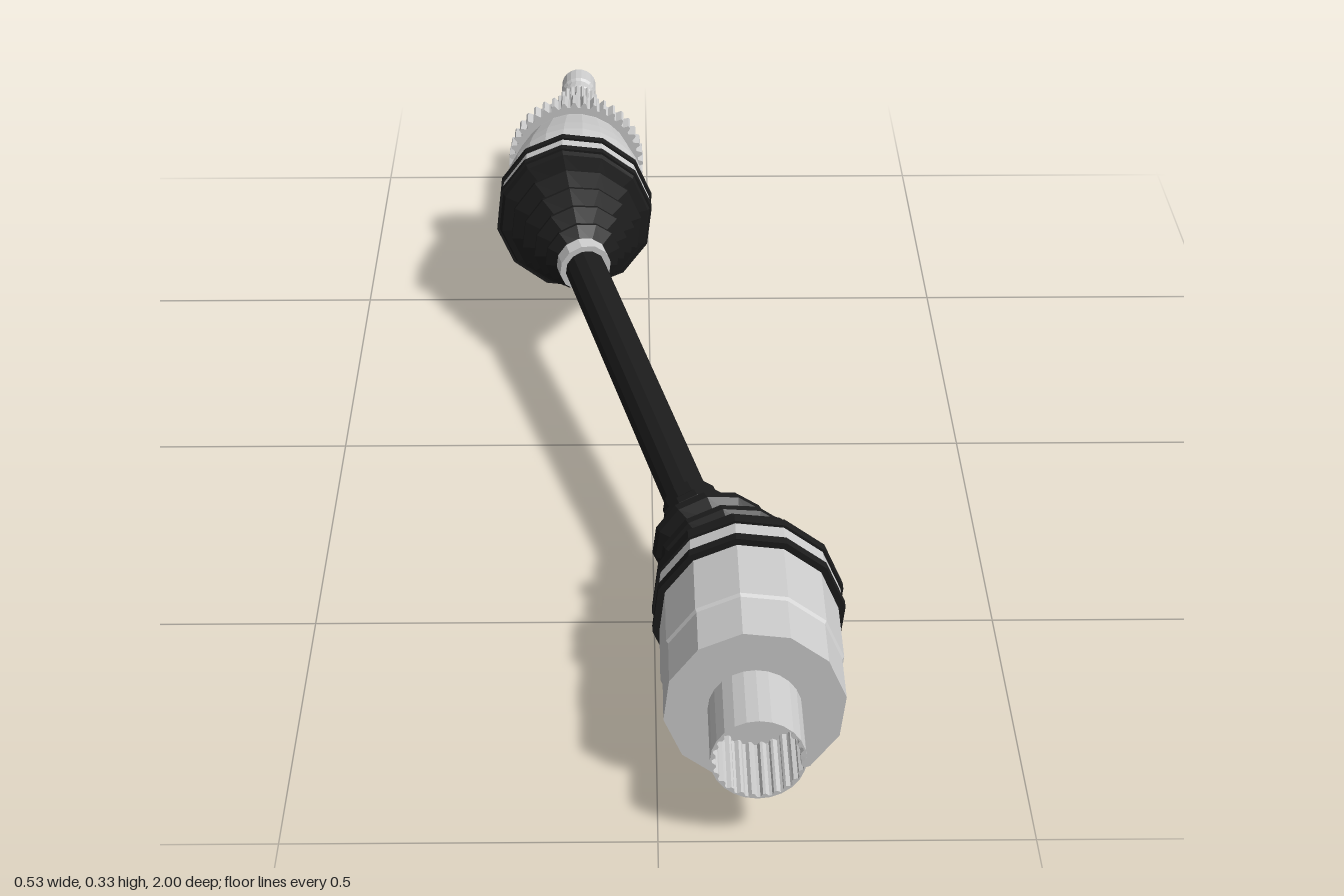
import * as THREE from 'three';

const SIDES = 12;
const TURN = THREE.MathUtils.degToRad(8.4);
const grey = new THREE.MeshStandardMaterial({ color: 0xcccccc, flatShading: true, side: THREE.DoubleSide });
const black = new THREE.MeshStandardMaterial({ color: 0x1c1c1c, flatShading: true, side: THREE.DoubleSide });

// Joint axes and the ends of the slanted shaft
const FRONT = new THREE.Vector3(0.13, 0.135, 0);
const REAR = new THREE.Vector3(-0.13, 0.197, 0);
const shaftRear = new THREE.Vector3(-0.12, 0.203, -0.29);
const shaftFront = new THREE.Vector3(0.065, 0.139, 0.45);
const shaftDir = shaftFront.clone().sub(shaftRear).normalize();
const Z = new THREE.Vector3(0, 0, 1);
const tilt = new THREE.Quaternion().setFromUnitVectors(Z, shaftDir);
const straight = new THREE.Quaternion();

function add(parent, name, geometry, material) {
  const mesh = new THREE.Mesh(geometry, material);
  mesh.name = name;
  parent.add(mesh);
  return mesh;
}

// Turned part along z from [radius, z] pairs, in order of rising z
function turned(profile, sides = SIDES) {
  const pts = profile.map(([r, z]) => new THREE.Vector2(r, z));
  return new THREE.LatheGeometry(pts, sides, TURN).rotateX(Math.PI / 2);
}

const disc = (r, z0, z1) => turned([[0, z0], [r, z0], [r, z1], [0, z1]]);

// Toothed outline for splines and the sensor ring
function toothed(Type, teeth, outer, inner) {
  const shape = new Type();
  for (let i = 0; i < teeth * 4; i++) {
    const a = (i / (teeth * 4)) * Math.PI * 2;
    const r = i % 4 < 2 ? outer : inner;
    if (i === 0) shape.moveTo(r * Math.cos(a), r * Math.sin(a));
    else shape.lineTo(r * Math.cos(a), r * Math.sin(a));
  }
  shape.closePath();
  return shape;
}

function extrude(shape, z0, z1) {
  const g = new THREE.ExtrudeGeometry(shape, { depth: z1 - z0, bevelEnabled: false, curveSegments: 12 });
  return g.translate(0, 0, z0);
}

// Bellows: a lathe of [radius, t] bent along a curve, rings tilting on the way
function bellows(profile, curve, qa, qb) {
  const g = turned(profile);
  const pos = g.attributes.position;
  const p = new THREE.Vector3();
  const q = new THREE.Quaternion();
  for (let i = 0; i < pos.count; i++) {
    const t = THREE.MathUtils.clamp(pos.getZ(i), 0, 1);
    p.set(pos.getX(i), pos.getY(i), 0);
    p.applyQuaternion(q.slerpQuaternions(qa, qb, t)).add(curve.getPoint(t));
    pos.setXYZ(i, p.x, p.y, p.z);
  }
  g.computeVertexNormals();
  return g;
}

// Two black rims with a grey clamp strip between them
function clampBand(parent, z0, z1) {
  const w = (z1 - z0) * 0.25;
  add(parent, 'bootRimInner', disc(0.136, z0, z0 + w), black);
  add(parent, 'clampStrip', disc(0.132, z0 + w, z1 - w), grey);
  add(parent, 'bootRimOuter', disc(0.136, z1 - w, z1), black);
}

function frontJoint() {
  const g = new THREE.Group();
  g.name = 'frontJoint';
  g.position.copy(FRONT);
  clampBand(g, 0.625, 0.685);
  add(g, 'frontCup', turned([
    [0, 0.68], [0.126, 0.68], [0.126, 0.8], [0.123, 0.805], [0.123, 0.89], [0, 0.89],
  ]), grey);
  // Hollow stub with internal splines
  const sleeve = new THREE.Shape().absarc(0, 0, 0.063, 0, Math.PI * 2);
  sleeve.holes.push(toothed(THREE.Path, 24, 0.0605, 0.056));
  add(g, 'splinedSleeve', extrude(sleeve, 0.885, 1), grey);
  return g;
}

function rearJoint() {
  const g = new THREE.Group();
  g.name = 'rearJoint';
  g.position.copy(REAR);
  clampBand(g, -0.49, -0.432);
  add(g, 'rearCup', turned([
    [0, -0.66], [0.098, -0.66], [0.102, -0.64], [0.118, -0.575], [0.125, -0.535], [0.125, -0.485], [0, -0.485],
  ], 24), grey);
  add(g, 'sensorRing', extrude(toothed(THREE.Shape, 40, 0.121, 0.112), -0.685, -0.648), grey);
  // Stub axle: collar, splines, grooved tip
  add(g, 'stubCollar', turned([[0, -0.735], [0.044, -0.735], [0.046, -0.68], [0, -0.68]], 20), grey);
  add(g, 'stubSplines', extrude(toothed(THREE.Shape, 24, 0.041, 0.037), -0.905, -0.73), grey);
  add(g, 'stubTip', turned([
    [0, -1], [0.032, -1], [0.032, -0.96], [0.028, -0.955], [0.028, -0.945], [0.032, -0.94],
    [0.032, -0.925], [0.028, -0.92], [0.028, -0.912], [0.034, -0.905], [0.034, -0.9], [0, -0.9],
  ], 20), grey);
  return g;
}

export function createModel() {
  const model = new THREE.Group();
  model.name = 'driveShaft';

  // Slanted shaft
  const length = shaftRear.distanceTo(shaftFront);
  const shaft = add(model, 'shaft', disc(0.034, 0, length), black);
  shaft.position.copy(shaftRear);
  shaft.quaternion.copy(tilt);

  model.add(frontJoint(), rearJoint());

  // Front boot, from the shaft to the cup
  const frontCurve = new THREE.CatmullRomCurve3([
    new THREE.Vector3(0.055, 0.141, 0.395), new THREE.Vector3(0.081, 0.139, 0.485),
    new THREE.Vector3(0.11, 0.137, 0.555), new THREE.Vector3(0.13, 0.135, 0.63),
  ]);
  add(model, 'frontBoot', bellows([
    [0.03, 0], [0.043, 0], [0.043, 0.09], [0.056, 0.15], [0.056, 0.2], [0.046, 0.26],
    [0.088, 0.36], [0.088, 0.42], [0.062, 0.53], [0.104, 0.64], [0.104, 0.69], [0.078, 0.78],
    [0.13, 0.92], [0.133, 1],
  ], frontCurve, tilt, straight), black);

  // Rear boot, from the cup to the shaft
  const onShaft = shaftRear.clone().addScaledVector(shaftDir, 0.045);
  const rearCurve = new THREE.LineCurve3(new THREE.Vector3(REAR.x, REAR.y, -0.435), onShaft);
  const rearProfile = [[0.133, 0], [0.128, 0.06]];
  const crests = [0.113, 0.097, 0.08, 0.064];
  crests.forEach((r, i) => {
    const t = 0.2 + i * 0.19;
    rearProfile.push([r * 0.72, t - 0.085], [r, t - 0.01], [r, t + 0.02]);
  });
  rearProfile.push([0.04, 0.87], [0.04, 1], [0.03, 1]);
  add(model, 'rearBoot', bellows(rearProfile, rearCurve, straight, tilt), black);

  // Small grey clamp at the narrow end of the rear boot
  const clamp = add(model, 'smallClamp', disc(0.044, -0.022, 0.004), grey);
  clamp.position.copy(onShaft);
  clamp.quaternion.copy(tilt);

  return model;
}
